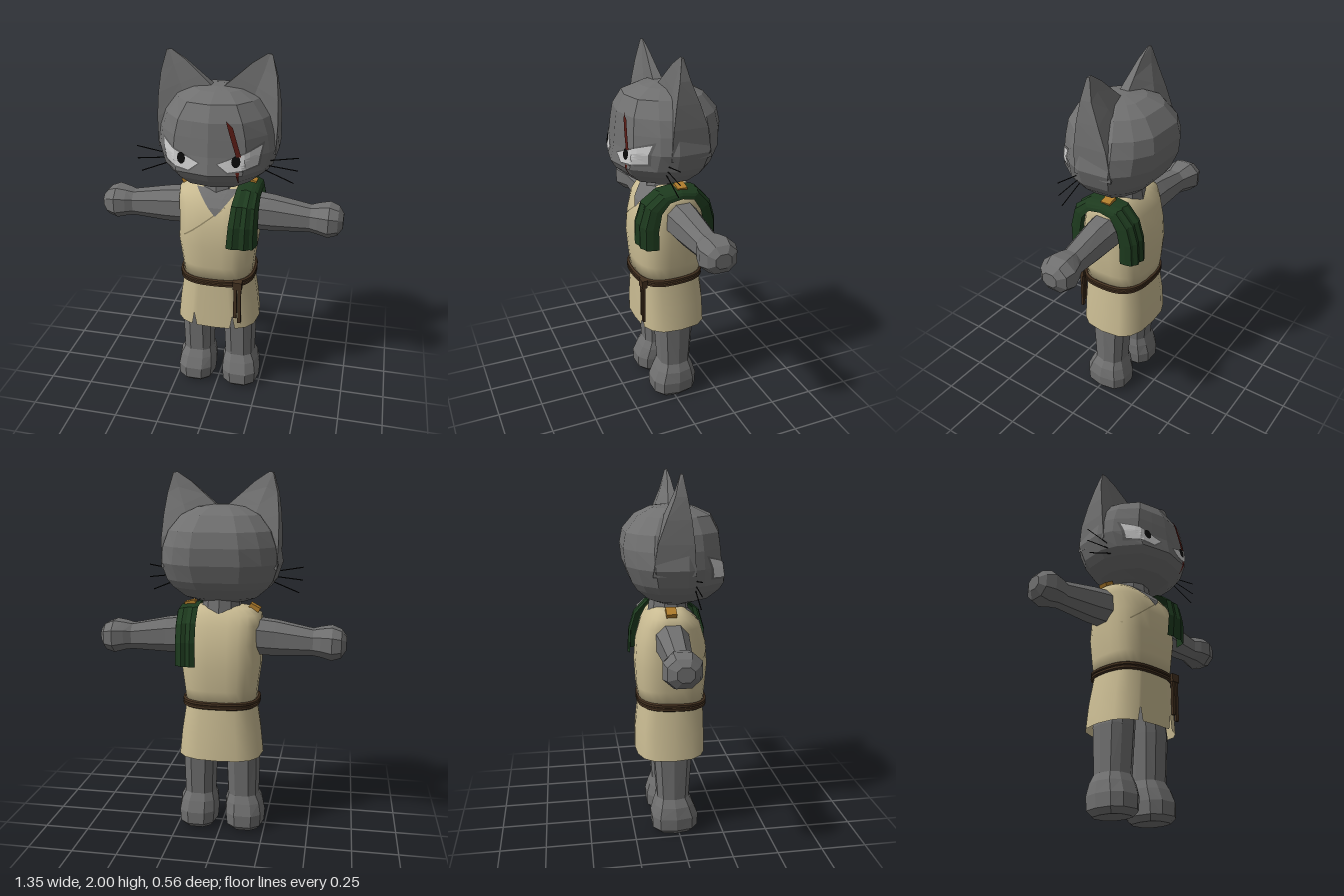
import * as THREE from 'three';

const V = (x, y, z) => new THREE.Vector3(x, y, z);
const mat = (color, flat = true) => new THREE.MeshStandardMaterial({ color, flatShading: flat, side: THREE.DoubleSide });
const fur = mat(0x707070), furDark = mat(0x606060), cloth = mat(0xc9bb92, false), seamMat = mat(0x8d8262);
const green = mat(0x1d3a1e), leather = mat(0x42301f), gold = mat(0xb07d2c);
const white = mat(0xcccccc), black = mat(0x0a0a0a), red = mat(0x571a14);

// Rounded-box cross-section at height y; sides is a count or a list of angles
function ring(y, x0, x1, z0, z1, sides = 8, p = 0.75) {
  const angles = Array.isArray(sides) ? sides : Array.from({ length: sides }, (_, j) => (j + 0.5) / sides * Math.PI * 2);
  const pow = v => Math.sign(v) * Math.abs(v) ** p;
  return angles.map(a => V((x0 + x1) / 2 + (x1 - x0) / 2 * pow(Math.sin(a)), y, (z0 + z1) / 2 + (z1 - z0) / 2 * pow(Math.cos(a))));
}

// Skin over a stack of rings, optionally closed around and capped
function loft(rings, { caps = true, closed = true } = {}) {
  const n = rings[0].length, pos = rings.flat(), idx = [];
  for (let i = 0; i < rings.length - 1; i++)
    for (let j = 0; j < (closed ? n : n - 1); j++) {
      const a = i * n + j, b = i * n + (j + 1) % n;
      idx.push(a, b, a + n, b, b + n, a + n);
    }
  if (caps) {
    const last = (rings.length - 1) * n;
    [rings[0], rings[rings.length - 1]].forEach((r, k) => {
      const c = pos.push(r.reduce((s, v) => s.add(v), V(0, 0, 0)).divideScalar(n)) - 1;
      for (let j = 0; j < n; j++) {
        const a = k * last + j, b = k * last + (j + 1) % n;
        k ? idx.push(a, b, c) : idx.push(b, a, c);
      }
    });
  }
  const g = new THREE.BufferGeometry().setFromPoints(pos);
  g.setIndex(idx);
  g.computeVertexNormals();
  return g;
}

// Lay a flat xy geometry onto the front surface of a mesh
function drape(geo, target, lift) {
  const p = geo.attributes.position, ray = new THREE.Raycaster();
  let z = 0;
  for (let i = 0; i < p.count; i++) {
    ray.set(V(p.getX(i), p.getY(i), 2), V(0, 0, -1));
    const hit = ray.intersectObject(target)[0];
    if (hit) z = hit.point.z;
    p.setZ(i, z + lift);
  }
  geo.computeVertexNormals();
  return geo;
}

// Four-cornered patch: top left, top right, bottom right, bottom left
function patch(tl, tr, br, bl, target, lift = 0.006) {
  const g = new THREE.PlaneGeometry(1, 1, 8, 6), p = g.attributes.position;
  for (let i = 0; i < p.count; i++) {
    const u = p.getX(i) + 0.5, v = p.getY(i) + 0.5;
    const mix = k => (tl[k] * (1 - u) + tr[k] * u) * v + (bl[k] * (1 - u) + br[k] * u) * (1 - v);
    p.setXYZ(i, mix(0), mix(1), 0);
  }
  return drape(g, target, lift);
}

export function createModel() {
  const model = new THREE.Group();
  const add = (name, geo, material) => {
    const m = new THREE.Mesh(geo, material);
    m.name = name;
    model.add(m);
    m.updateMatrixWorld();
    return m;
  };
  const pair = (name, geo, material) => {
    add(name + 'Left', geo, material);
    add(name + 'Right', geo, material).scale.x = -1;
  };

  // Head: angular outline scaled row by row (y, half width, front, back)
  const half = [[0, 1], [0.3, 0.93], [0.58, 0.86], [0.88, 0.45], [1, 0.12], [0.96, -0.5], [0.72, -0.8], [0.4, -1], [0, -1]];
  const outline = [...half, ...half.slice(1, -1).reverse().map(([x, z]) => [-x, z])];
  const head = add('head', loft([
    [1.32, 0.13, 0.1, 0.09], [1.345, 0.2, 0.19, 0.15], [1.4, 0.265, 0.255, 0.21], [1.44, 0.295, 0.28, 0.235],
    [1.53, 0.325, 0.262, 0.27], [1.62, 0.31, 0.253, 0.28], [1.7, 0.28, 0.243, 0.265], [1.78, 0.215, 0.2, 0.2],
    [1.82, 0.13, 0.11, 0.12], [1.832, 0.04, 0.04, 0.04],
  ].map(([y, w, f, b]) => outline.map(([x, z]) => V(x * w, y, z * (z > 0 ? f : b))))), fur);

  // Ears: wedge sections running from inner edge to outer edge, up to the tip
  pair('ear', loft([
    [0.02, 1.7, 0.31, 1.5, 0.07, -0.15], [0.02, 1.82, 0.315, 1.66, 0.06, -0.125], [0.09, 1.88, 0.31, 1.78, 0.045, -0.08],
    [0.17, 1.95, 0.298, 1.89, 0.025, -0.035], [0.245, 1.998, 0.27, 1.995, 0.005, -0.008],
  ].map(([xi, yi, xo, yo, f, b]) => {
    const xm = (xi + xo) / 2, ym = (yi + yo) / 2;
    return [V(xi, yi, f * 0.5), V(xm, ym, f * 0.4), V(xo, yo, f), V(xo - 0.005, yo, b), V(xm, ym, b * 0.8), V(xi, yi, b * 0.2)];
  })), fur);

  // Scowling eyes, pupils and whiskers
  for (const s of [1, -1]) {
    const side = s > 0 ? 'Left' : 'Right', at = (x, y) => [s * x, y];
    add('eyeRim' + side, patch(at(0.265, 1.595), at(0.04, 1.5), at(0.098, 1.45), at(0.245, 1.47), head, 0.003), furDark);
    add('eye' + side, patch(at(0.255, 1.58), at(0.05, 1.5), at(0.1, 1.46), at(0.237, 1.48), head, 0.007), white);
    const disc = new THREE.CircleGeometry(0.025, 10).scale(0.9, 1.2, 1).translate(s * 0.14, 1.515, 0);
    add('pupil' + side, drape(disc, head, 0.011), black);
    for (const [x, y, y0] of [[0.43, 1.495, 1.465], [0.43, 1.425, 1.445], [0.41, 1.355, 1.42]]) {
      const path = new THREE.LineCurve3(V(s * 0.25, y0, 0.075), V(s * x, y, 0.075));
      add('whisker' + side, new THREE.TubeGeometry(path, 1, 0.003, 4), black);
    }
  }
  add('scar', patch([0.085, 1.715], [0.12, 1.685], [0.165, 1.54], [0.14, 1.54], head, 0.012), red);
  add('scarEnd', patch([0.14, 1.46], [0.157, 1.46], [0.15, 1.39], [0.147, 1.39], head), red);

  // Neck
  add('neck', new THREE.CylinderGeometry(0.1, 0.12, 0.14, 10).translate(0, 1.28, -0.03), fur);

  // Sleeveless tunic with V neck and wrap seam
  const tunic = add('tunic', loft([
    [0.76, 0.195, -0.2, 0.16], [0.85, 0.203, -0.213, 0.168], [0.98, 0.22, -0.22, 0.178], [1.1, 0.215, -0.21, 0.168],
    [1.2, 0.222, -0.18, 0.138], [1.255, 0.22, -0.15, 0.09], [1.29, 0.17, -0.12, 0.05], [1.3, 0.1, -0.1, 0.03],
  ].map(([y, w, b, f]) => ring(y, -w, w, b, f, 24, 0.7))), cloth);
  add('chest', patch([-0.11, 1.285], [0.12, 1.285], [0.012, 1.16], [0.008, 1.16], tunic), fur);
  add('wrapSeam', patch([0.06, 1.21], [0.064, 1.205], [-0.195, 1.0], [-0.2, 1.005], tunic, 0.003), seamMat);

  // Skirt with two slits at the front hem
  const arc = [0, 0.28, 0.345, 0.41, 0.75, 1.15, 1.57, 2, 2.4, 2.8, Math.PI];
  const angles = [...arc, ...arc.slice(1, -1).reverse().map(a => Math.PI * 2 - a)];
  const hem = ring(0.46, -0.237, 0.237, -0.225, 0.165, angles, 0.7);
  hem[2].y = hem[angles.length - 2].y = 0.54;
  add('skirt', loft([hem, ring(0.6, -0.222, 0.222, -0.22, 0.163, angles, 0.7),
    ring(0.77, -0.195, 0.195, -0.2, 0.158, angles, 0.7)], { caps: false }), cloth);

  // Double cord belt, knot and hanging ends
  for (const y of [0.752, 0.772]) {
    const loop = ring(y, -0.203, 0.203, -0.202, 0.165, 24, 0.7);
    loop.forEach(v => { v.y -= v.z * 0.03; });
    add('beltCord', new THREE.TubeGeometry(new THREE.CatmullRomCurve3(loop, true), 48, 0.012, 6, true), leather);
  }
  add('beltKnot', new THREE.BoxGeometry(0.05, 0.045, 0.03).translate(0.14, 0.755, 0.162), leather);
  for (const [x, len] of [[0.128, 0.2], [0.152, 0.23]])
    add('beltEnd', new THREE.BoxGeometry(0.018, len, 0.014).translate(x, 0.745 - len / 2, 0.165), leather);

  // Arms with rounded fists: sections (x, y range, z range)
  pair('arm', loft([
    [0.17, 1.03, 1.24, -0.13, 0.06], [0.3, 1.025, 1.225, -0.12, 0.045], [0.5, 1.035, 1.185, -0.11, 0.022],
    [0.54, 1.03, 1.195, -0.13, 0.04], [0.6, 1.015, 1.205, -0.152, 0.056], [0.65, 1.03, 1.185, -0.135, 0.035],
    [0.677, 1.07, 1.15, -0.09, 0],
  ].map(([x, y0, y1, b, f]) => ring(x, -y1, -y0, b, f, 8, 0.85))).rotateZ(-Math.PI / 2), fur);

  // Legs flaring into feet
  pair('leg', loft([
    [0, 0.05, 0.22, -0.12, 0.085], [0.03, 0.025, 0.245, -0.15, 0.115], [0.1, 0.018, 0.25, -0.153, 0.117],
    [0.165, 0.022, 0.238, -0.135, 0.09], [0.21, 0.035, 0.215, -0.118, 0.066], [0.46, 0.025, 0.22, -0.135, 0.082],
    [0.66, 0.02, 0.18, -0.13, 0.08],
  ].map(([y, x0, x1, b, f]) => ring(y, x0, x1, b, f, 10, 0.75))), fur);

  // Shoulder cape: folded strip over the left shoulder, front to back (z, y)
  const drop = [[0.187, 0.99], [0.19, 1.12], [0.16, 1.23], [0.08, 1.295], [-0.03, 1.31], [-0.13, 1.295], [-0.2, 1.22], [-0.23, 1.12], [-0.237, 0.99]];
  add('cape', loft(drop.map(([z, y], i) => Array.from({ length: 8 }, (_, j) => {
    const u = j / 7, inner = i < 4 ? 0.075 + 0.012 * i : 0.115, tuck = 1 - 0.42 * u ** 4;
    const fold = j % 2 ? 0.006 : -0.004;
    return V(inner + (0.235 - inner) * Math.sin(u * Math.PI / 2), 0.99 + (y - 0.99) * (1 - 0.15 * u ** 3),
      -0.025 + (z + 0.025) * tuck + fold * Math.sign(z + 0.03));
  })), { caps: false, closed: false }), green);

  // Shoulder clasps
  for (const [name, x, y, tilt] of [['claspLeft', 0.17, 1.3, -0.25], ['claspRight', -0.18, 1.285, 0.5]]) {
    const clasp = add(name, new THREE.BoxGeometry(0.06, 0.035, 0.055), gold);
    clasp.position.set(x, y, -0.04);
    clasp.rotation.z = tilt;
  }
  return model;
}
